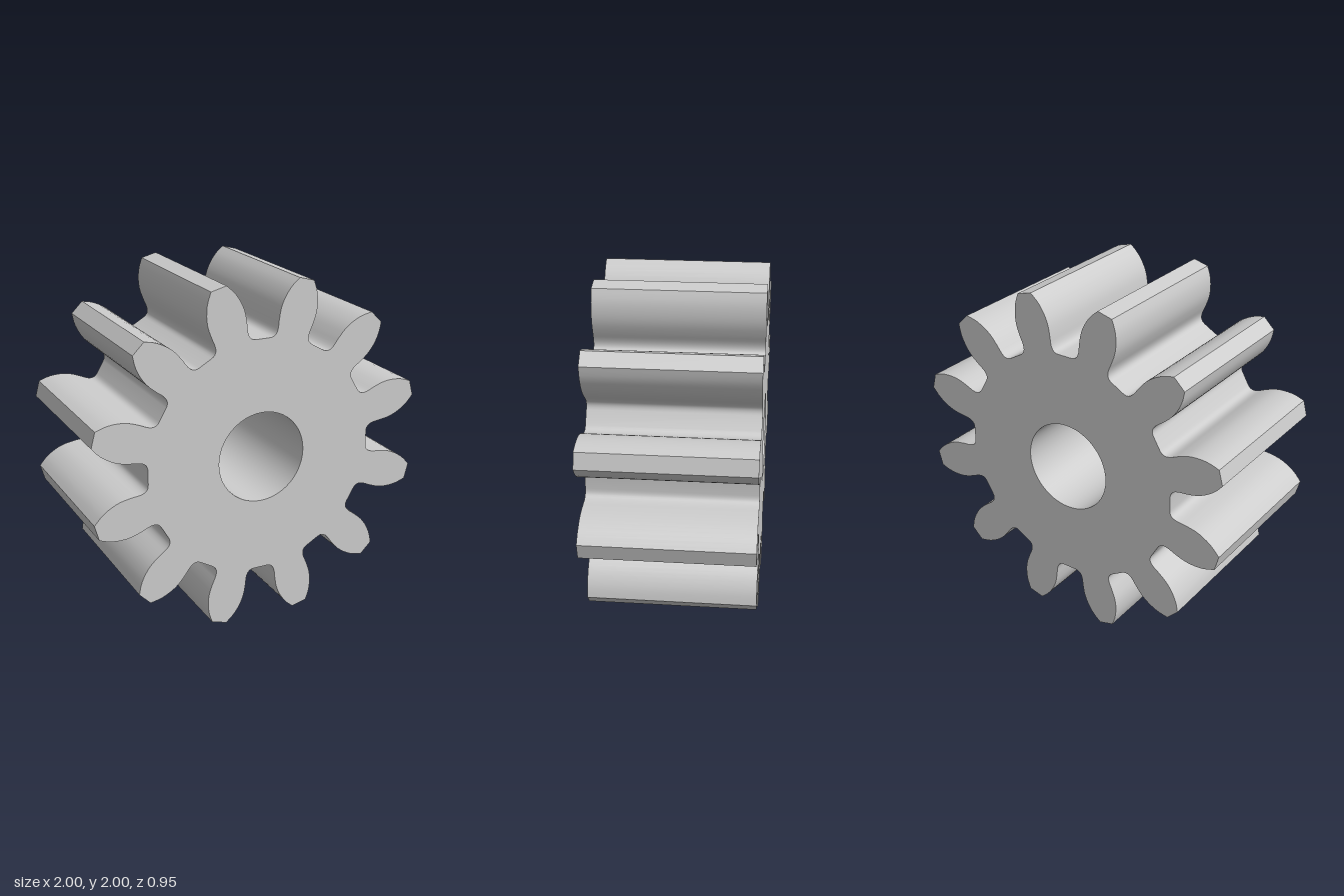
import * as THREE from 'three';
import { toCreasedNormals } from 'three/addons/utils/BufferGeometryUtils.js';

const TEETH = 12;
const DEPTH = 0.95;
const BORE_RADIUS = 0.265;

// Right half of the gap between two teeth, for the gap pointing up (+y)
function halfGap() {
  const v = (x, y) => new THREE.Vector2(x, y);
  const fillet = new THREE.CubicBezierCurve(v(0.04, 0.687), v(0.078, 0.687), v(0.093, 0.71), v(0.096, 0.77));
  const flank = new THREE.SplineCurve([v(0.096, 0.77), v(0.108, 0.84), v(0.132, 0.899), v(0.171, 0.956), v(0.22, 1.0)]);
  return [...fillet.getPoints(8), ...flank.getPoints(10).slice(1)];
}

// Full outline: mirror the half gap and repeat it clockwise
function gearShape() {
  const right = halfGap();
  const left = right.map((p) => new THREE.Vector2(-p.x, p.y)).reverse();
  const gap = [...left, ...right];
  const outline = [];
  const centre = new THREE.Vector2();
  for (let i = 0; i < TEETH; i++) {
    const angle = (-i * Math.PI * 2) / TEETH;
    for (const p of gap) outline.push(p.clone().rotateAround(centre, angle));
  }
  const shape = new THREE.Shape(outline);

  // The bore winds against the outline so that its wall faces inwards
  const bore = new THREE.Path();
  bore.absarc(0, 0, BORE_RADIUS, 0, Math.PI * 2, false);
  shape.holes.push(bore);
  return shape;
}

export function createModel() {
  const group = new THREE.Group();
  group.name = 'spurGear';

  // Toothed body with a round bore, standing on its lowest teeth
  const body = new THREE.ExtrudeGeometry(gearShape(), { depth: DEPTH, bevelEnabled: false, curveSegments: 24 });
  body.translate(0, 0, -DEPTH / 2);
  const gear = new THREE.Mesh(
    toCreasedNormals(body, 0.5),
    new THREE.MeshStandardMaterial({ color: 0xcccccc })
  );
  gear.name = 'gearBody';
  gear.position.y = 1;
  group.add(gear);
  return group;
}
